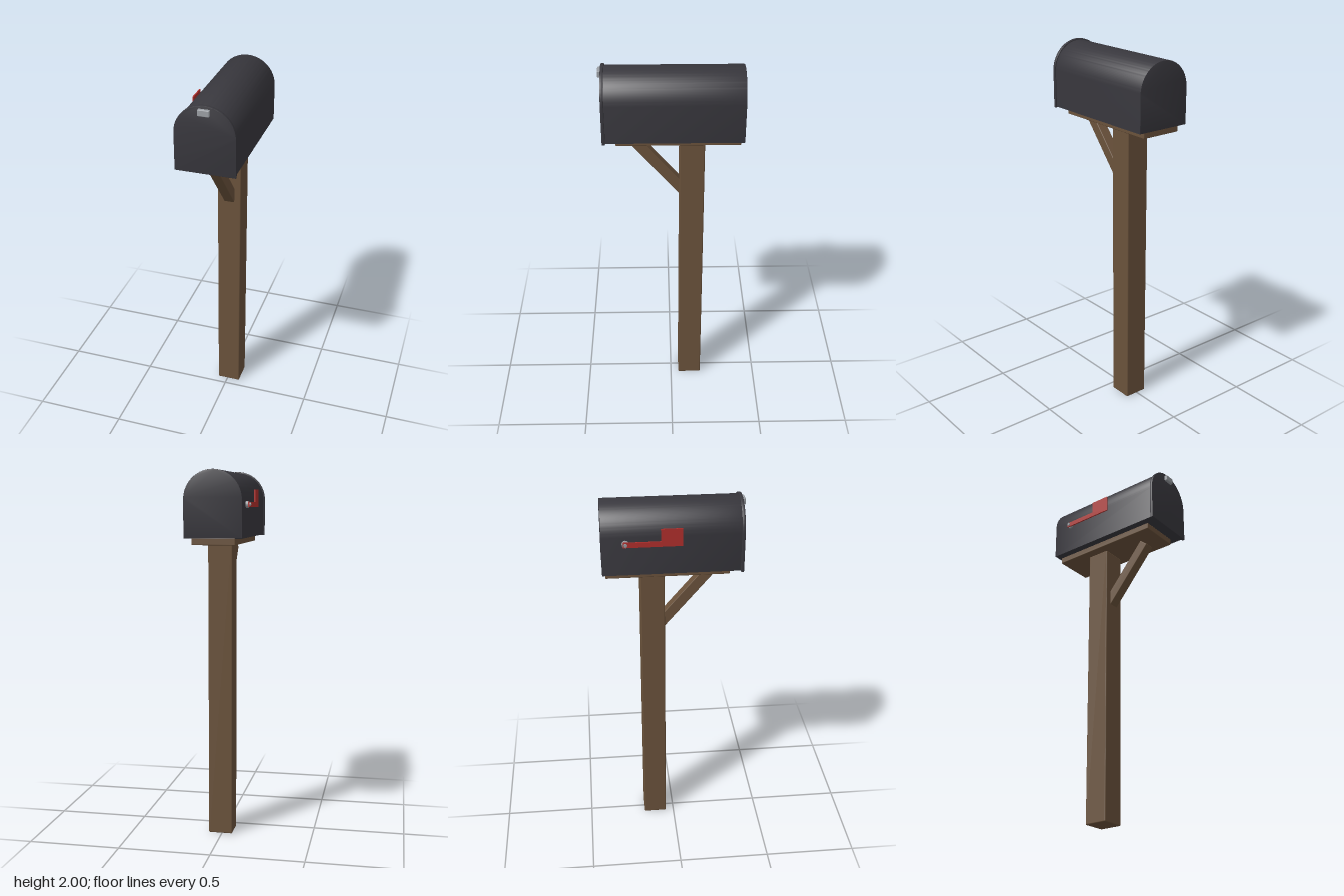
import * as THREE from 'three';
import { toCreasedNormals } from 'three/addons/utils/BufferGeometryUtils.js';
import { RoundedBoxGeometry } from 'three/addons/geometries/RoundedBoxGeometry.js';

const CX = 0.008; // centre line of post and box

function material(name, color) {
  const m = new THREE.MeshStandardMaterial({ color });
  m.name = name;
  return m;
}

// Outline with a flat bottom, straight sides and a half-round top
function archShape(radius, bottom, springLine) {
  const s = new THREE.Shape();
  s.moveTo(-radius, bottom);
  s.lineTo(radius, bottom);
  s.lineTo(radius, springLine);
  s.absarc(0, springLine, radius, 0, Math.PI, false);
  s.closePath();
  return s;
}

// Extrusion between two z values with a small bevel kept inside the outline
function archGeometry(radius, bottom, springLine, z0, z1, bevel) {
  const g = new THREE.ExtrudeGeometry(archShape(radius, bottom, springLine), {
    depth: z1 - z0 - 2 * bevel, curveSegments: 32,
    bevelEnabled: true, bevelThickness: bevel, bevelSize: bevel,
    bevelOffset: -bevel, bevelSegments: 2,
  });
  g.translate(CX, 0, z0 + bevel);
  return toCreasedNormals(g, 0.5);
}

export function createModel() {
  const group = new THREE.Group();
  group.name = 'mailbox';
  const wood = material('wood', 0x6a523b);
  const metal = material('dark metal', 0x38373d);
  const red = material('flag red', 0xb02f2c);
  const steel = material('steel', 0x9a9ea3);

  const add = (name, geometry, mat, x = 0, y = 0, z = 0) => {
    const mesh = new THREE.Mesh(geometry, mat);
    mesh.name = name;
    mesh.position.set(x, y, z);
    group.add(mesh);
    return mesh;
  };
  const block = (w, h, d, bevel) => new RoundedBoxGeometry(w, h, d, 2, bevel);

  // Wooden stand
  add('post', block(0.132, 1.61, 0.132, 0.006), wood, CX, 0.805, -0.111);
  add('mountingBoard', block(0.228, 0.036, 0.645, 0.004), wood, CX, 1.627, -0.035);

  // Diagonal brace, its lower end buried in the post
  const length = 0.45, tilt = 0.707; // tilt from vertical towards the front
  add('brace', block(0.058, length, 0.058, 0.004), wood, CX,
    1.593 - Math.cos(tilt) * length / 2, 0.194 - Math.sin(tilt) * length / 2)
    .rotation.x = tilt;

  // Box and door
  add('boxBody', archGeometry(0.1525, 1.644, 1.84, -0.374, 0.34, 0.003), metal);
  add('door', archGeometry(0.159, 1.639, 1.841, 0.337, 0.354, 0.003), metal);
  add('doorLatch', block(0.06, 0.034, 0.02, 0.004), steel, CX, 1.967, 0.36);

  // Signal flag: arm and square plate in one outline, drawn as (z, y)
  const outline = [[-0.265, 1.802], [0.037, 1.802], [0.037, 1.895],
    [-0.072, 1.895], [-0.072, 1.829], [-0.265, 1.829]];
  const flagShape = new THREE.Shape(outline.map(([z, y]) => new THREE.Vector2(-z, y)));
  const flag = new THREE.ExtrudeGeometry(flagShape, { depth: 0.007, bevelEnabled: false });
  flag.rotateY(Math.PI / 2);
  add('flag', flag, red, -0.164);

  // Flag pivot: spacer against the box and bolt head outside
  for (const [name, radius, x0, x1] of [
    ['flagSpacer', 0.018, -0.157, -0.138], ['flagBolt', 0.009, -0.17, -0.157]]) {
    const g = new THREE.CylinderGeometry(radius, radius, x1 - x0, 20);
    add(name, g.rotateZ(Math.PI / 2), steel, (x0 + x1) / 2, 1.816, -0.253);
  }
  return group;
}
